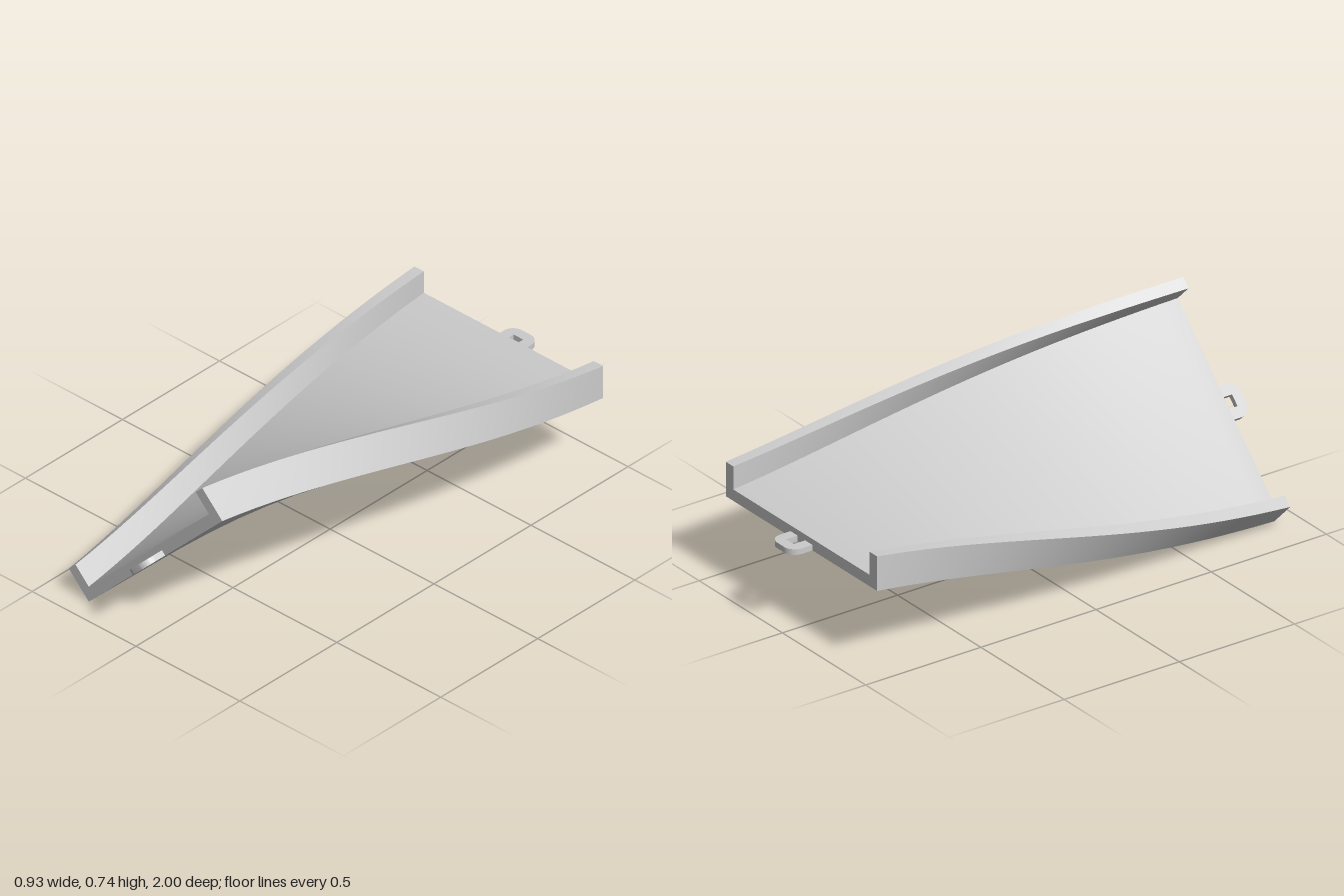
import * as THREE from 'three';
import { toCreasedNormals } from 'three/addons/utils/BufferGeometryUtils.js';

const HALF_W = 0.4545, WALL = 0.045, HEIGHT = 0.136, END = 0.91;
const TWIST = Math.PI / 4;
const PIVOT = { x: 0.01, y: 0.3225 };

// Twist angle along the track: a linear run slightly eased at both ends
function twistAt(z) {
  const t = (z + END) / (2 * END);
  return TWIST * THREE.MathUtils.lerp(t, t * t * (3 - 2 * t), 0.4);
}

// U-shaped channel swept along z and twisted about the underside centre line
function channelGeometry() {
  const inner = HALF_W - WALL;
  const profile = new THREE.Shape([
    [-HALF_W, 0], [HALF_W, 0], [HALF_W, HEIGHT], [inner, HEIGHT],
    [inner, WALL], [-inner, WALL], [-inner, HEIGHT], [-HALF_W, HEIGHT],
  ].map(([x, y]) => new THREE.Vector2(x, y)));
  const geo = new THREE.ExtrudeGeometry(profile, { depth: 2 * END, steps: 24, bevelEnabled: false });
  geo.translate(0, 0, -END);
  const pos = geo.attributes.position;
  const v = new THREE.Vector3(), axis = new THREE.Vector3(0, 0, 1);
  for (let i = 0; i < pos.count; i++) {
    v.fromBufferAttribute(pos, i);
    v.applyAxisAngle(axis, twistAt(v.z));
    pos.setXYZ(i, v.x, v.y, v.z);
  }
  return toCreasedNormals(geo, 0.6);
}

// Flat connecting loop with rounded outer corners, reaching out along +z
function loopGeometry() {
  const w = 0.066, h = 0.023, len = 0.09, r = 0.045, slot = 0.05;
  const s = new THREE.Shape();
  s.moveTo(-w, 0);
  s.lineTo(-h, 0);
  s.lineTo(-h, slot);
  s.lineTo(h, slot);
  s.lineTo(h, 0);
  s.lineTo(w, 0);
  s.lineTo(w, len - r);
  s.absarc(w - r, len - r, r, 0, Math.PI / 2);
  s.absarc(r - w, len - r, r, Math.PI / 2, Math.PI);
  s.closePath();
  const geo = new THREE.ExtrudeGeometry(s, { depth: 0.022, bevelEnabled: false, curveSegments: 6 });
  geo.rotateX(Math.PI / 2); // shape y becomes +z
  geo.translate(0, 0.022, END);
  return toCreasedNormals(geo, 0.6);
}

export function createModel() {
  const mat = new THREE.MeshStandardMaterial({ color: 0xcccccc });
  const model = new THREE.Group();
  model.name = 'twistedTrack';
  const add = (name, geo) => {
    const mesh = new THREE.Mesh(geo, mat);
    mesh.name = name;
    mesh.position.set(PIVOT.x, PIVOT.y, 0);
    model.add(mesh);
    return mesh;
  };

  add('channel', channelGeometry());

  // Connecting loops, one following the twist at each end
  const loop = loopGeometry();
  add('frontLoop', loop).rotation.z = TWIST;
  add('backLoop', loop).rotation.y = Math.PI;
  return model;
}
